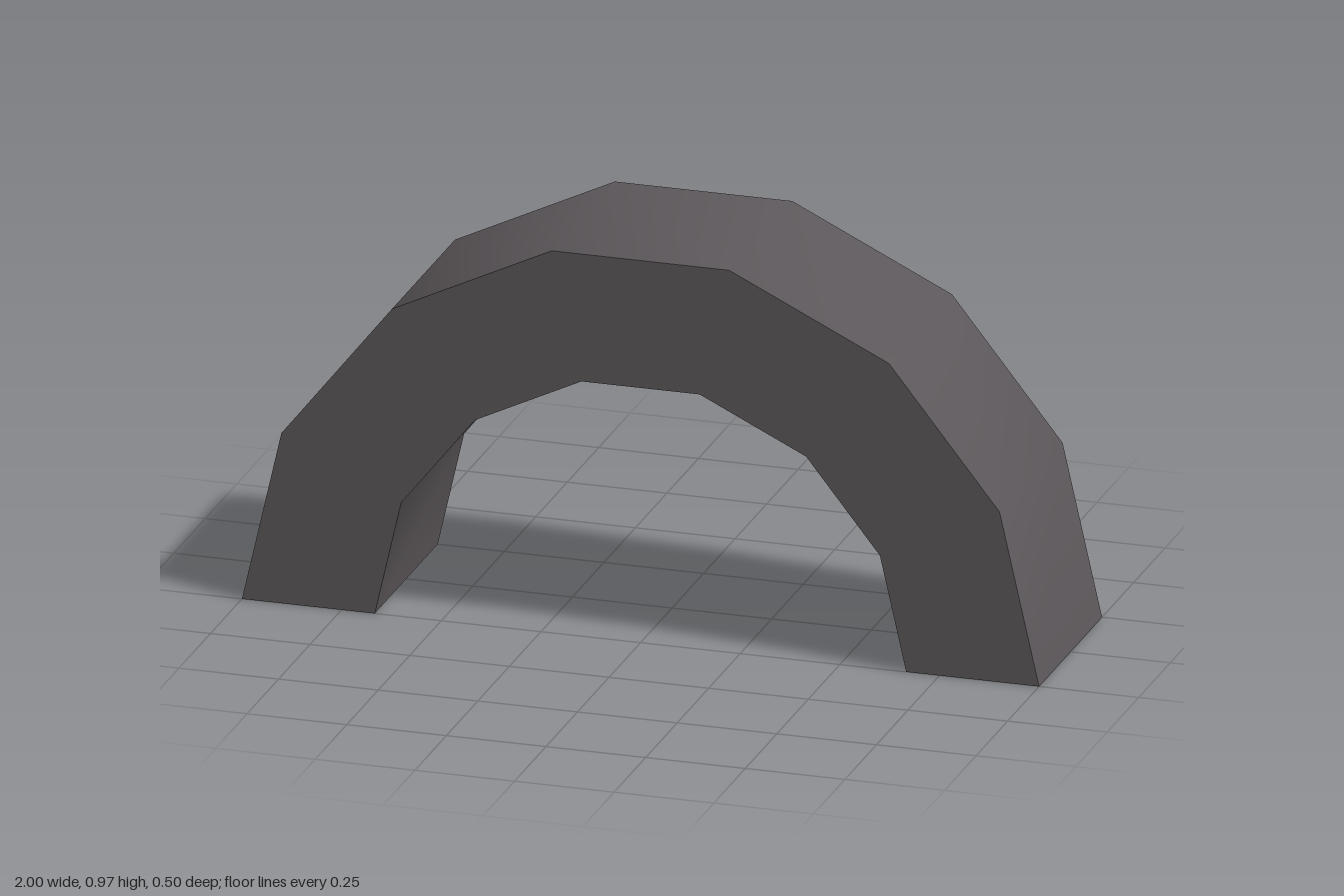
import * as THREE from 'three';
import { toCreasedNormals } from 'three/addons/utils/BufferGeometryUtils.js';

const SEGMENTS = 7;
const OUTER = 1, INNER = 2 / 3, DEPTH = 0.5;

// Points of a half ring, from +x over the top to -x
function halfRing(radius) {
  const points = [];
  for (let i = 0; i <= SEGMENTS; i++) {
    const a = (i / SEGMENTS) * Math.PI;
    points.push(new THREE.Vector2(Math.cos(a) * radius, Math.sin(a) * radius));
  }
  return points;
}

export function createModel() {
  const stone = new THREE.MeshStandardMaterial({ color: 0x5c575a });
  stone.name = 'dark grey';

  // Arch: faceted half ring, smooth around the curve and sharp at the ends
  const profile = new THREE.Shape([...halfRing(OUTER), ...halfRing(INNER).reverse()]);
  const extruded = new THREE.ExtrudeGeometry(profile, { depth: DEPTH, bevelEnabled: false });
  extruded.translate(0, 0, -DEPTH / 2);

  const arch = new THREE.Mesh(toCreasedNormals(extruded, 0.7), stone);
  arch.name = 'arch';

  const model = new THREE.Group();
  model.name = 'archBlock';
  model.add(arch);
  return model;
}
